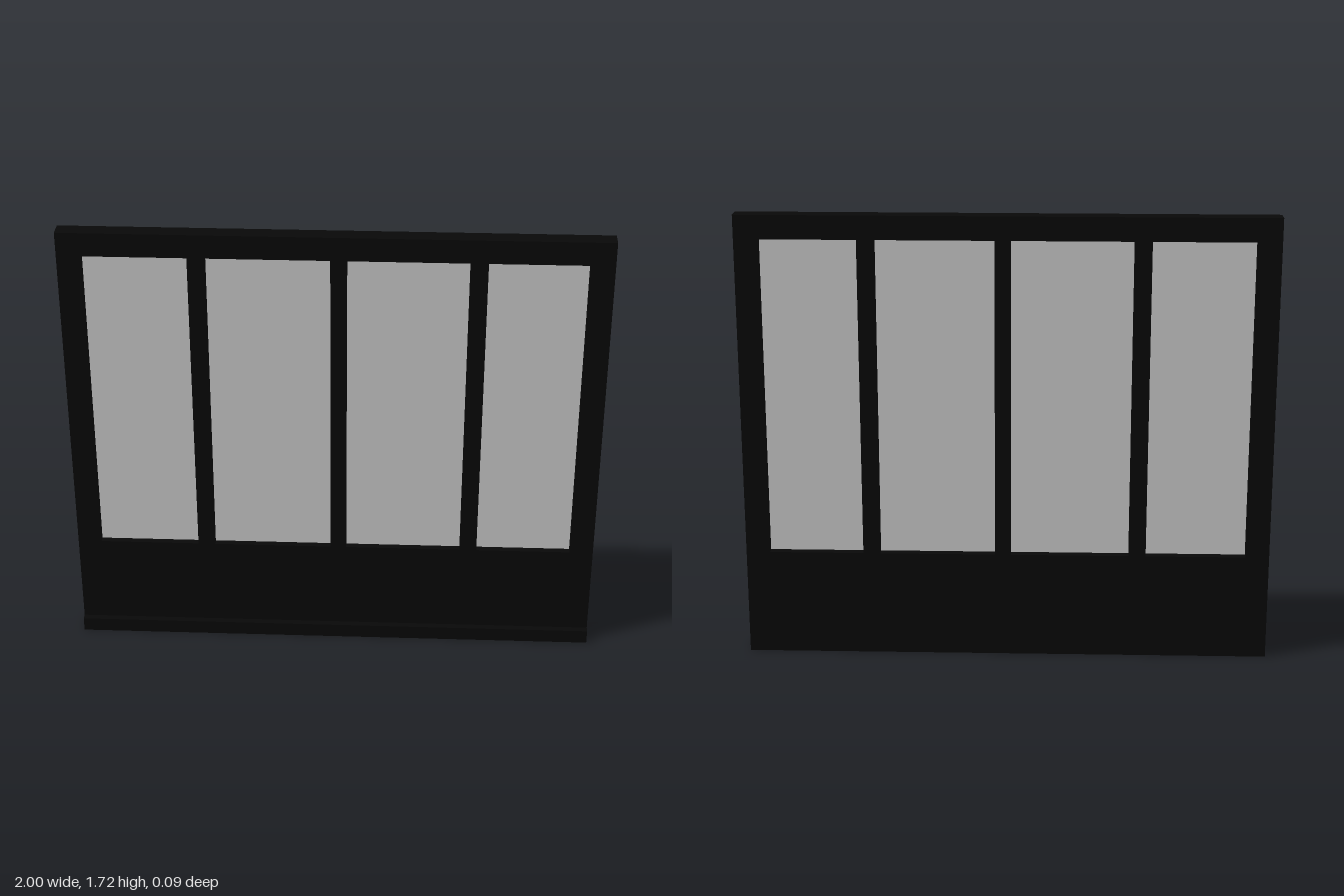
import * as THREE from 'three';

export function createModel() {
  const group = new THREE.Group();
  const black = new THREE.MeshStandardMaterial({ color: 0x080808 });
  const grey = new THREE.MeshStandardMaterial({ color: 0xcccccc });

  const height = 1.72, back = -0.045, front = 0.02;
  const bottom = 0.41, top = 1.63; // sill and head of the openings
  const openings = [[-0.91, -0.53], [-0.465, -0.015], [0.045, 0.485], [0.55, 0.91]];

  // Frame: one slab with four window openings
  const shape = new THREE.Shape([[-1, 0], [1, 0], [1, height], [-1, height]].map(p => new THREE.Vector2(...p)));
  for (const [l, r] of openings) {
    shape.holes.push(new THREE.Path([[l, bottom], [l, top], [r, top], [r, bottom]].map(p => new THREE.Vector2(...p))));
  }
  const frame = new THREE.Mesh(
    new THREE.ExtrudeGeometry(shape, { depth: front - back, bevelEnabled: false }), black);
  frame.position.z = back;
  frame.name = 'frame';
  group.add(frame);

  // Thin panes set midway in the openings
  openings.forEach(([l, r], i) => {
    const pane = new THREE.Mesh(new THREE.BoxGeometry(r - l, top - bottom, 0.008), grey);
    pane.position.set((l + r) / 2, (top + bottom) / 2, -0.009);
    pane.name = `pane${i + 1}`;
    group.add(pane);
  });

  // Low ledge along the foot of the front
  const ledge = new THREE.Mesh(new THREE.BoxGeometry(2, 0.055, 0.025), black);
  ledge.position.set(0, 0.0275, front + 0.0125);
  ledge.name = 'bottomLedge';
  group.add(ledge);

  return group;
}
